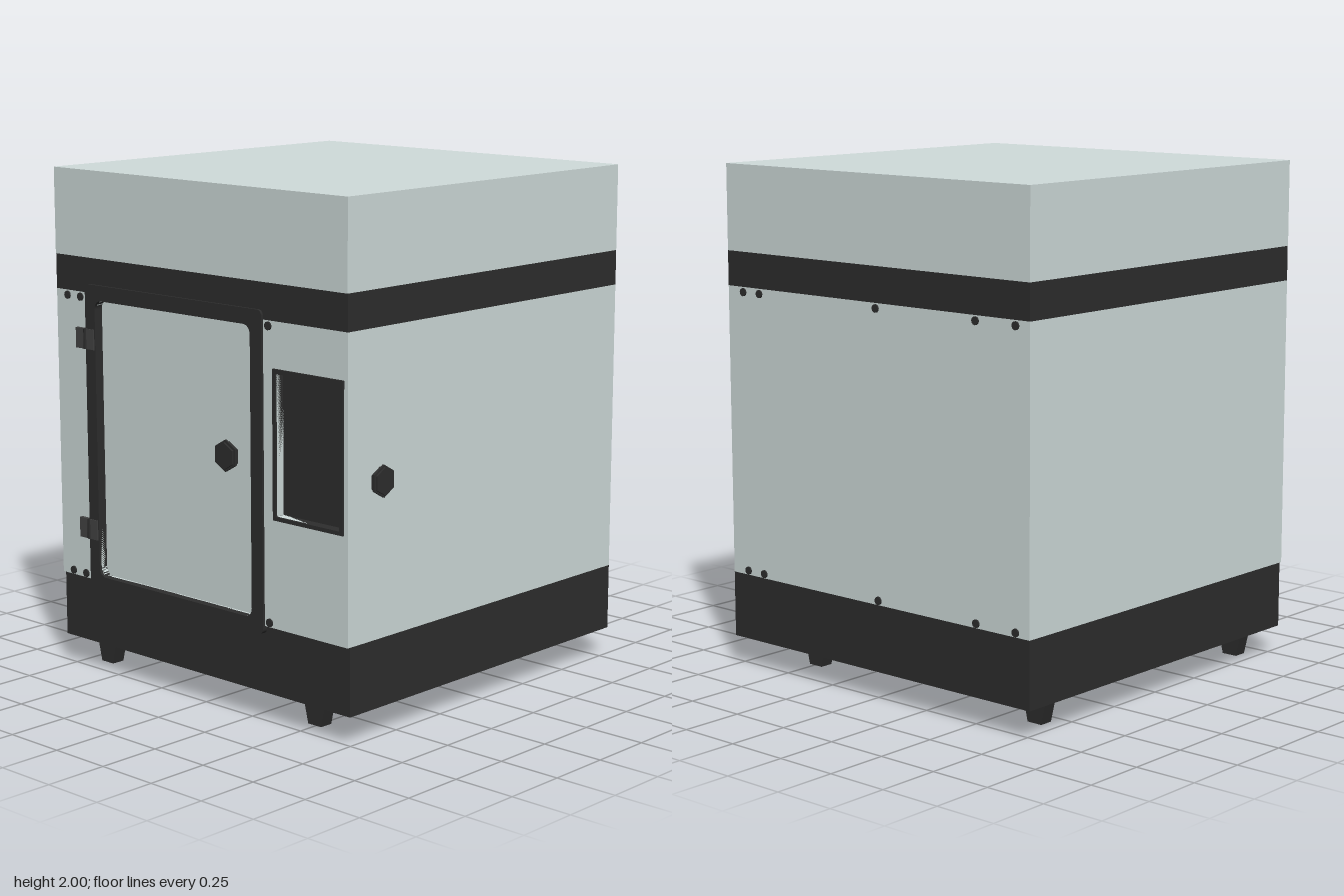
import * as THREE from 'three';

const light = new THREE.MeshStandardMaterial({ color: 0xd0dcdb });
const dark = new THREE.MeshStandardMaterial({ color: 0x2d2d2d });
const grey = new THREE.MeshStandardMaterial({ color: 0x444444 });

// Body limits
const X0 = -0.79, X1 = 0.76, Z0 = -0.787, Z1 = 0.777;

function add(parent, name, geometry, material) {
  const mesh = new THREE.Mesh(geometry, material);
  mesh.name = name;
  parent.add(mesh);
  return mesh;
}

// Box given by its limits on each axis
function box(parent, name, material, x0, x1, y0, y1, z0, z1) {
  const mesh = add(parent, name, new THREE.BoxGeometry(x1 - x0, y1 - y0, z1 - z0), material);
  mesh.position.set((x0 + x1) / 2, (y0 + y1) / 2, (z0 + z1) / 2);
  return mesh;
}

// Rounded rectangle outline, for a Shape or a Path
function roundRect(path, x0, x1, y0, y1, r) {
  path.moveTo(x0 + r, y0);
  path.lineTo(x1 - r, y0);
  path.absarc(x1 - r, y0 + r, r, -Math.PI / 2, 0);
  path.lineTo(x1, y1 - r);
  path.absarc(x1 - r, y1 - r, r, 0, Math.PI / 2);
  path.lineTo(x0 + r, y1);
  path.absarc(x0 + r, y1 - r, r, Math.PI / 2, Math.PI);
  path.lineTo(x0, y0 + r);
  path.absarc(x0 + r, y0 + r, r, Math.PI, Math.PI * 1.5);
  return path;
}

// Plate with rectangular holes, spanning z0 to z1
function plate(parent, name, material, outer, holes, z0, z1) {
  const shape = roundRect(new THREE.Shape(), ...outer);
  holes.forEach((h) => shape.holes.push(roundRect(new THREE.Path(), ...h)));
  const geometry = new THREE.ExtrudeGeometry(shape, { depth: z1 - z0, bevelEnabled: false, curveSegments: 6 });
  add(parent, name, geometry, material).position.z = z0;
}

// Stepped six-sided knob, pointing along +z
function knob(name, depth) {
  const group = new THREE.Group();
  group.name = name;
  [[0, 0.45, 0.052], [0.45, 0.75, 0.061], [0.75, 1, 0.052]].forEach(([a, b, r]) => {
    const g = new THREE.CylinderGeometry(r, r, (b - a) * depth, 6).toNonIndexed();
    g.computeVertexNormals();
    g.rotateX(Math.PI / 2);
    add(group, 'knobStep', g, dark).position.z = depth * (a + b) / 2;
  });
  return group;
}

export function createModel() {
  const model = new THREE.Group();
  model.name = 'cabinet';

  // Stacked cabinet body
  box(model, 'base', dark, X0, X1, 0.115, 0.377, Z0, 0.763);
  box(model, 'bodyShell', light, X0, X1, 0.377, 1.525, Z0, 0.737);
  box(model, 'upperBand', dark, X0, X1, 1.525, 1.662, Z0, 0.775);
  box(model, 'lid', light, X0, X1, 1.662, 2, Z0, Z1);

  // Front wall with openings for the door and the display
  const doorHole = [-0.56, 0.285, 0.4, 1.5, 0.035];
  const screenHole = [0.41, 0.725, 0.805, 1.335, 0.001];
  plate(model, 'frontWall', light, [X0, X1, 0.377, 1.525, 0.0005], [doorHole, screenHole], 0.737, 0.775);

  // Door: raised frame around a recessed panel
  plate(model, 'doorFrame', dark, [-0.615, 0.343, 0.345, 1.56, 0.02], [doorHole], 0.745, 0.785);
  box(model, 'doorPanel', light, -0.6, 0.33, 0.39, 1.51, 0.73, 0.747);
  const doorKnob = knob('doorKnob', 0.032);
  doorKnob.position.set(0.137, 0.99, 0.747);
  model.add(doorKnob);

  // Display bezel and sunken screen
  plate(model, 'displayBezel', dark, [0.395, 0.742, 0.79, 1.352, 0.001], [screenHole], 0.738, 0.783);
  box(model, 'displayScreen', dark, 0.41, 0.725, 0.805, 1.335, 0.73, 0.741);

  // Hinges: two leaves and a pin
  [0.585, 1.345].forEach((y) => {
    const hinge = new THREE.Group();
    hinge.name = 'hinge';
    box(hinge, 'wallLeaf', grey, -0.668, -0.618, -0.04, 0.04, 0.77, 0.789);
    box(hinge, 'doorLeaf', grey, -0.612, -0.565, -0.04, 0.04, 0.78, 0.789);
    const pin = add(hinge, 'hingePin', new THREE.CylinderGeometry(0.009, 0.009, 0.08, 10), dark);
    pin.position.set(-0.615, 0, 0.785);
    hinge.position.y = y;
    model.add(hinge);
  });

  // Side knob on the model's left wall
  const sideKnob = knob('sideKnob', 0.027);
  sideKnob.rotation.y = Math.PI / 2;
  sideKnob.position.set(X1, 0.967, 0.605);
  model.add(sideKnob);

  // Screw heads on the front and back walls
  const screwGeometry = new THREE.CylinderGeometry(0.016, 0.016, 0.012, 12).rotateX(Math.PI / 2);
  const screws = [[0.775, [-0.725, -0.65, 0.37]], [Z0, [-0.725, -0.535, -0.04, 0.585, 0.675]]];
  screws.forEach(([z, xs]) => xs.forEach((x) => [0.395, 1.505].forEach((y) => {
    add(model, 'screw', screwGeometry, dark).position.set(x, y, z);
  })));

  // Tapered feet
  const footShape = new THREE.Shape([[-0.033, 0], [0.033, 0], [0.061, 0.117], [-0.061, 0.117]]
    .map(([x, y]) => new THREE.Vector2(x, y)));
  const footGeometry = new THREE.ExtrudeGeometry(footShape, { depth: 0.055, bevelEnabled: false });
  [-0.657, 0.494].forEach((x) => [0.613, -0.604].forEach((z) => {
    add(model, 'foot', footGeometry, dark).position.set(x, 0, z);
  }));

  return model;
}
